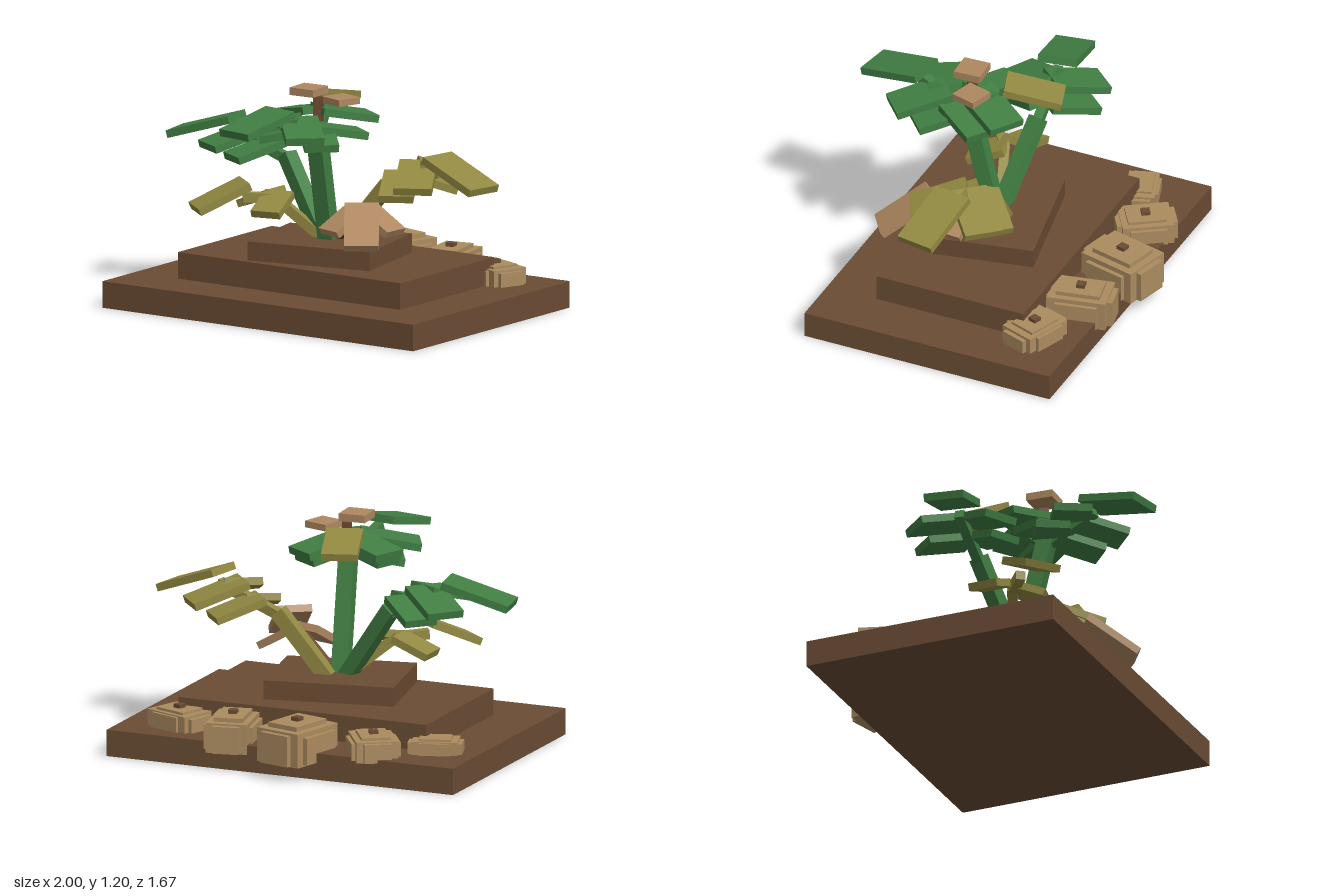
import * as THREE from 'three';

const mat = (name, color) => new THREE.MeshStandardMaterial({ name, color });

export function createModel() {
  const model = new THREE.Group();
  model.name = 'plantOnSteppedBase';

  const soil = mat('soil brown', 0x6b4c34);
  const green = mat('leaf green', 0x417f43);
  const olive = mat('yellowing leaf', 0x928942);
  const dry = mat('dry leaf', 0xae8860);
  const stalkBrown = mat('dry stalk', 0x6b4630);
  const stone = mat('tan stone', 0xac8c60);

  const V = (a) => new THREE.Vector3(...a);

  function box(name, material, size, pos, yaw = 0, pitch = 0, parent = model) {
    const m = new THREE.Mesh(new THREE.BoxGeometry(...size), material);
    m.name = name;
    m.position.set(...pos);
    m.rotation.set(pitch, yaw, 0, 'YXZ');
    parent.add(m);
    return m;
  }

  // Square bar running between two points
  function bar(name, material, from, to, thick, parent = model) {
    const a = V(from), b = V(to), d = b.clone().sub(a);
    const yaw = Math.atan2(d.x, d.z);
    const pitch = -Math.atan2(d.y, Math.hypot(d.x, d.z));
    const c = a.add(b).multiplyScalar(0.5);
    return box(name, material, [thick, thick, d.length()], c.toArray(), yaw, pitch, parent);
  }

  // Stepped base
  box('baseSlab', soil, [1.97, 0.14, 1.4], [-0.005, 0.07, 0]);
  box('middleStep', soil, [1.41, 0.14, 0.84], [-0.005, 0.21, 0]);
  box('topStep', soil, [0.69, 0.1, 0.54], [-0.005, 0.33, 0.055], 0.2);

  // Frond: one tip leaf, and mirrored leaf pairs behind it along the heading
  function frond({ name, material, tipMaterial = material, stalk = material, tip, dir,
    pitch, size, pairs, root, thick = 0.04 }) {
    const g = new THREE.Group();
    g.name = name;
    model.add(g);
    const yaw = Math.atan2(dir[0], dir[1]);
    const fx = Math.sin(yaw), fz = Math.cos(yaw);
    box('tipLeaf', tipMaterial, [size[0], thick, size[1]], tip, yaw, pitch, g);
    for (const { back, y, side, w, l } of pairs) {
      const mx = tip[0] - fx * back, mz = tip[2] - fz * back;
      for (const s of [-1, 1]) {
        const pos = [mx + s * fz * side, y, mz - s * fx * side];
        box('sideLeaf', material, [w, thick, l], pos, yaw + s * 0.9, pitch * 0.9, g);
      }
    }
    // Rib carrying the leaves
    const end = [tip[0] - fx * size[1] * 0.4, tip[1] - 0.01, tip[2] - fz * size[1] * 0.4];
    bar('rib', stalk, root, end, 0.05, g);
  }

  const twoPairs = (y2, y1) => [
    { back: 0.21, y: y2, side: 0.115, w: 0.2, l: 0.31 },
    { back: 0.335, y: y1, side: 0.115, w: 0.18, l: 0.28 },
  ];

  // Stems
  bar('centreStem', green, [0, 0.36, 0.07], [0.02, 0.98, 0.21], 0.085);
  bar('rightStem', green, [-0.04, 0.36, 0.06], [-0.33, 0.77, -0.02], 0.075);
  bar('leftStem', olive, [0.04, 0.36, 0.0], [0.31, 0.69, -0.03], 0.075);

  // Upper fronds
  frond({ name: 'rightFrond', material: green, tip: [-0.8, 0.885, 0.04], dir: [-0.98, 0.17],
    pitch: 0.29, size: [0.21, 0.37], pairs: twoPairs(0.855, 0.8), root: [-0.31, 0.74, -0.02] });
  frond({ name: 'leftFrond', material: olive, tip: [0.81, 0.805, 0.04], dir: [0.98, 0.17],
    pitch: 0.35, size: [0.21, 0.37], pairs: twoPairs(0.775, 0.71), root: [0.3, 0.67, -0.03] });
  frond({ name: 'frontFrond', material: green, tip: [-0.05, 1.07, 0.64], dir: [-0.17, 0.98],
    pitch: 0.21, size: [0.21, 0.35], pairs: twoPairs(1.02, 0.96), root: [0.02, 0.94, 0.2] });
  frond({ name: 'backFrond', material: green, tipMaterial: olive, tip: [-0.09, 1.105, -0.11],
    dir: [-0.32, -0.95], pitch: 0.21, size: [0.19, 0.31], pairs: twoPairs(1.05, 0.98),
    root: [0.02, 0.95, 0.2] });

  // Low drooping fronds
  bar('lowRightStem', olive, [-0.04, 0.37, 0.06], [-0.29, 0.58, 0.15], 0.05);
  frond({ name: 'lowRightFrond', material: olive, tip: [-0.49, 0.59, 0.35], dir: [-0.63, 0.77],
    pitch: 0.42, size: [0.2, 0.3], root: [-0.27, 0.57, 0.14],
    pairs: [{ back: 0.25, y: 0.555, side: 0.11, w: 0.16, l: 0.21 }] });
  bar('lowLeftStem', stalkBrown, [0.06, 0.4, 0.05], [0.27, 0.54, 0.16], 0.045);
  frond({ name: 'lowLeftFrond', material: dry, stalk: stalkBrown, tip: [0.43, 0.54, 0.385],
    dir: [0.57, 0.82], pitch: 0.58, size: [0.18, 0.32], root: [0.25, 0.53, 0.14],
    pairs: [{ back: 0.25, y: 0.52, side: 0.1, w: 0.15, l: 0.21 }] });

  // Dry flower head
  bar('flowerStalk', stalkBrown, [0.03, 0.9, 0.21], [0.02, 1.15, 0.19], 0.05);
  box('upperPetal', dry, [0.145, 0.04, 0.145], [-0.025, 1.18, 0.215], 0.05);
  box('lowerPetal', dry, [0.14, 0.035, 0.14], [0.13, 1.135, 0.145], -0.28);

  // Layered stones: x, z, yaw, width, depth, bottom, top, has knob
  const stones = [
    [-0.76, -0.41, 0.32, 0.24, 0.16, 0.13, 0.22, false],
    [-0.475, -0.565, 0.59, 0.22, 0.27, 0.12, 0.245, true],
    [-0.07, -0.625, -0.25, 0.27, 0.33, 0.08, 0.285, true],
    [0.32, -0.57, 0.2, 0.22, 0.31, 0.09, 0.27, true],
    [0.67, -0.47, -0.35, 0.27, 0.2, 0.13, 0.24, true],
  ];
  for (const [x, z, yaw, w, d, y0, y1, knob] of stones) {
    const g = new THREE.Group();
    g.name = 'stone';
    g.position.set(x, y0, z);
    g.rotation.y = yaw;
    model.add(g);
    const h = y1 - y0;
    box('stoneBody', stone, [w, h * 0.88, d], [0, h * 0.44, 0], 0, 0, g);
    box('stoneLengthBlock', stone, [w * 0.66, h * 0.8, d * 1.18], [0, h * 0.42, 0], 0, 0, g);
    box('stoneWidthBlock', stone, [w * 1.18, h * 0.7, d * 0.72], [0, h * 0.4, 0], 0, 0, g);
    box('stoneLid', stone, [w * 0.7, h * 0.2, d * 0.75], [0, h * 0.9, 0], 0, 0, g);
    if (knob) box('stoneKnob', soil, [0.045, 0.03, 0.045], [0, h + 0.005, 0], 0, 0, g);
  }

  return model;
}
